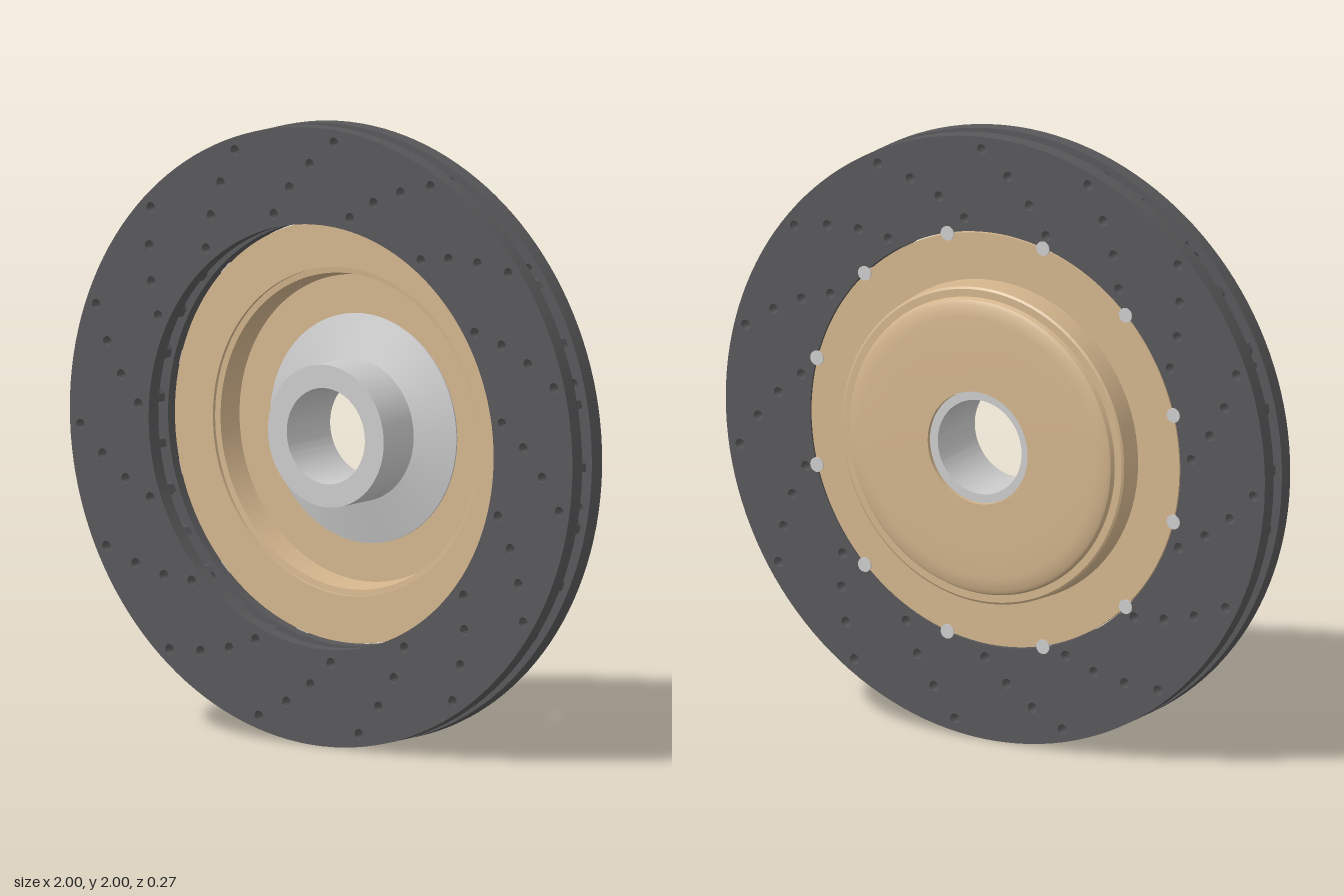
import * as THREE from 'three';
import { toCreasedNormals } from 'three/addons/utils/BufferGeometryUtils.js';

const RAD = Math.PI / 180;
const paint = (color) => new THREE.MeshStandardMaterial({ color });
const iron = paint(0x58585a);
const gold = paint(0xd2b48c);
const silver = paint(0xcccccc);

// Point at radius r, angle in degrees clockwise from the top
const polar = (r, deg) => new THREE.Vector2(r * Math.sin(deg * RAD), r * Math.cos(deg * RAD));

function circlePoints(radius, count, cx = 0, cy = 0) {
  return Array.from({ length: count }, (_, i) => {
    const a = (i / count) * Math.PI * 2;
    return new THREE.Vector2(cx + radius * Math.cos(a), cy + radius * Math.sin(a));
  });
}

function makeMesh(name, geometry, material) {
  const mesh = new THREE.Mesh(toCreasedNormals(geometry, 25 * RAD), material);
  mesh.name = name;
  return mesh;
}

// Closed [radius, z] profile turned around the z axis
function turned(name, profile, material) {
  const points = [...profile, profile[0]].map(([r, z]) => new THREE.Vector2(r, z));
  return makeMesh(name, new THREE.LatheGeometry(points, 128).rotateX(Math.PI / 2), material);
}

// Friction ring with 15 sweeping rows of four drilled holes
function frictionPlate(name, z0, z1) {
  const shape = new THREE.Shape(circlePoints(0.998, 144));
  shape.holes.push(new THREE.Path(circlePoints(0.685, 144)));
  for (let row = 0; row < 15; row++) {
    [0.957, 0.879, 0.804, 0.727].forEach((r, k) => {
      const c = polar(r, row * 24 + 3 - 6 * k);
      shape.holes.push(new THREE.Path(circlePoints(0.017, 14, c.x, c.y)));
    });
  }
  const geometry = new THREE.ExtrudeGeometry(shape, { depth: z1 - z0, bevelEnabled: false });
  return makeMesh(name, geometry.translate(0, 0, z0), iron);
}

// One curved cooling vane between the two plates
function vaneGeometry() {
  const left = [], right = [];
  for (let i = 0; i <= 8; i++) {
    const t = i / 8, r = 0.7 + 0.275 * t, angle = -14 + 21 * t;
    const half = 0.013 / r / RAD;
    left.push(polar(r, angle - half));
    right.push(polar(r, angle + half));
  }
  const shape = new THREE.Shape([...left, ...right.reverse()]);
  return new THREE.ExtrudeGeometry(shape, { depth: 0.054, bevelEnabled: false }).translate(0, 0, 0.03);
}

export function createModel() {
  const model = new THREE.Group();
  model.name = 'brakeDisc';
  const body = new THREE.Group();
  body.name = 'discBody';
  body.position.y = 1;
  model.add(body);

  body.add(frictionPlate('frontPlate', 0.083, 0.135));
  body.add(frictionPlate('backPlate', -0.024, 0.031));

  const vanes = new THREE.Group();
  vanes.name = 'coolingVanes';
  const vane = vaneGeometry();
  for (let i = 0; i < 30; i++) {
    const mesh = makeMesh('vane', vane, iron);
    mesh.rotation.z = i * 12 * RAD;
    vanes.add(mesh);
  }
  body.add(vanes);

  // Cup-shaped centre with a flange and a slightly domed back
  body.add(turned('hat', [
    [0.185, -0.135], [0.34, -0.133], [0.43, -0.13], [0.47, -0.126], [0.483, -0.119],
    [0.49, -0.105], [0.515, -0.105], [0.522, -0.1], [0.528, -0.023], [0.681, -0.023],
    [0.681, 0], [0.53, 0], [0.53, -0.012], [0.51, -0.014], [0.495, -0.095], [0.185, -0.095],
  ], gold));

  // Conical hub with a bored tube
  body.add(turned('hub', [
    [0.155, -0.122], [0.184, -0.122], [0.184, -0.096], [0.37, -0.096], [0.37, -0.09],
    [0.23, -0.05], [0.23, 0.11], [0.155, 0.11],
  ], silver));

  // Rivets holding the hat in the back plate
  const rivets = new THREE.Group();
  rivets.name = 'rivets';
  const rivet = new THREE.CylinderGeometry(0.024, 0.024, 0.024, 20).rotateX(Math.PI / 2);
  for (let i = 0; i < 12; i++) {
    const p = polar(0.683, 15 + i * 30);
    const mesh = makeMesh('rivet', rivet, silver);
    mesh.position.set(p.x, p.y, -0.015);
    rivets.add(mesh);
  }
  body.add(rivets);

  return model;
}
